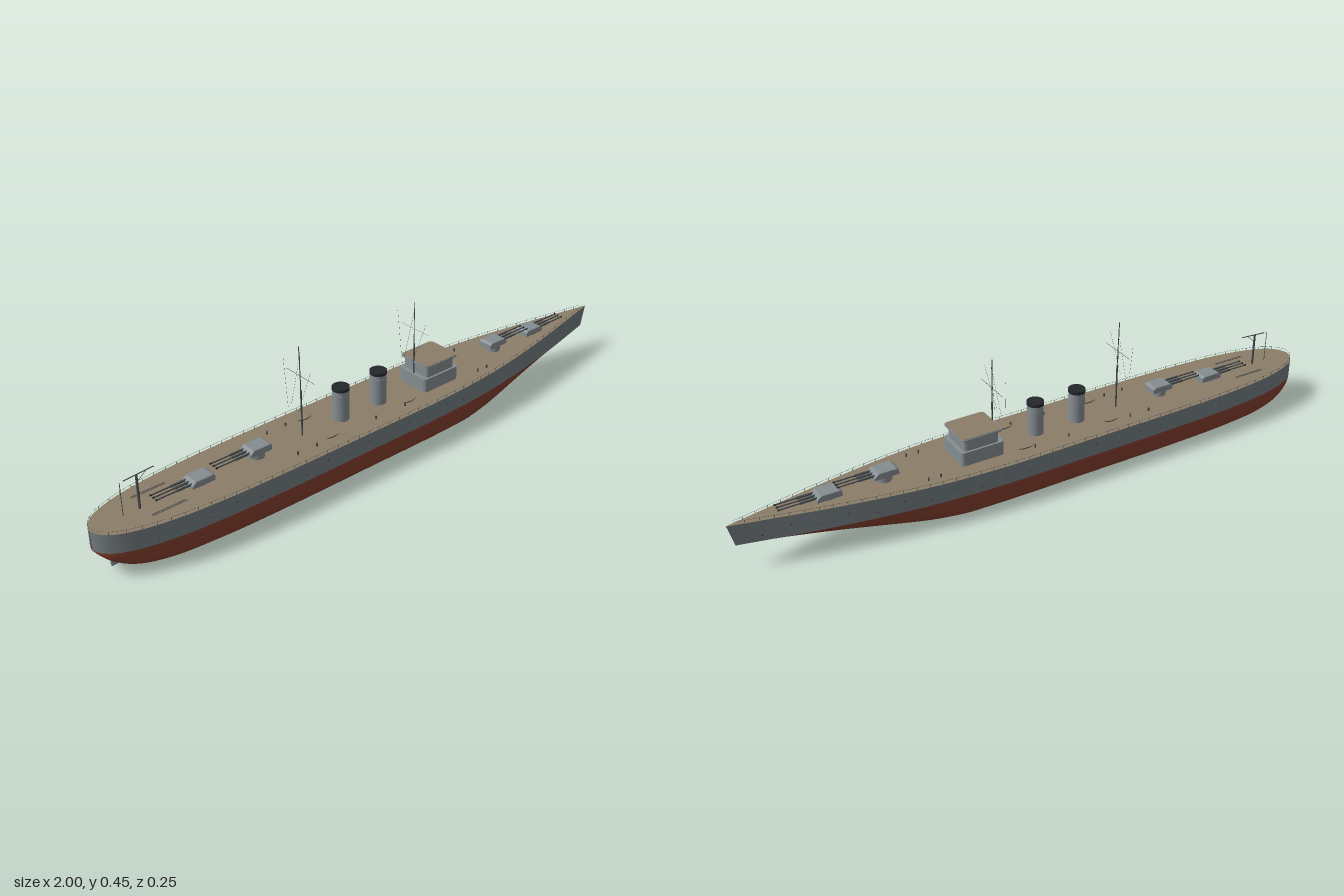
import * as THREE from 'three';
import { toCreasedNormals } from 'three/addons/utils/BufferGeometryUtils.js';

const paint = (name, color, side = THREE.FrontSide) => {
  const m = new THREE.MeshStandardMaterial({ color, side });
  m.name = name;
  return m;
};

export function createModel() {
  const ship = new THREE.Group();
  ship.name = 'warship';
  const hullGrey = paint('hull grey', 0x737b7f, THREE.DoubleSide);
  const lightGrey = paint('superstructure grey', 0x858d91);
  const red = paint('antifouling red', 0x85402f, THREE.DoubleSide);
  const wood = paint('deck tan', 0x8b7e69, THREE.DoubleSide);
  const dark = paint('dark fittings', 0x24282b);
  const gun = paint('gun grey', 0x474d51);

  const add = (name, geo, mat, x = 0, y = 0, z = 0, parent = ship) => {
    const m = new THREE.Mesh(geo, mat);
    m.name = name;
    m.position.set(x, y, z);
    parent.add(m);
    return m;
  };
  // thin round bar between two points
  const rod = (name, a, b, r, mat, parent = ship) => {
    const p = new THREE.Vector3(...a), q = new THREE.Vector3(...b), d = q.clone().sub(p);
    const m = add(name, new THREE.CylinderGeometry(r, r, d.length(), 6), mat, 0, 0, 0, parent);
    m.position.copy(p.add(q).multiplyScalar(0.5));
    m.quaternion.setFromUnitVectors(new THREE.Vector3(0, 1, 0), d.normalize());
  };
  // skin over a row of cross-sections
  const loft = (rows) => {
    const n = rows[0].length, idx = [];
    for (let i = 0; i < rows.length - 1; i++)
      for (let j = 0; j < n - 1; j++) {
        const a = i * n + j, b = a + n;
        idx.push(a, a + 1, b, b, a + 1, b + 1);
      }
    const g = new THREE.BufferGeometry();
    g.setAttribute('position', new THREE.Float32BufferAttribute(rows.flat(2), 3));
    g.setIndex(idx);
    g.computeVertexNormals();
    return g;
  };
  // upright block with rounded plan corners, base at y = 0
  const block = (lx, h, lz, r) => {
    const x = lx / 2, z = lz / 2, s = new THREE.Shape();
    s.moveTo(-x + r, -z).lineTo(x - r, -z).quadraticCurveTo(x, -z, x, -z + r);
    s.lineTo(x, z - r).quadraticCurveTo(x, z, x - r, z);
    s.lineTo(-x + r, z).quadraticCurveTo(-x, z, -x, z - r);
    s.lineTo(-x, -z + r).quadraticCurveTo(-x, -z, -x + r, -z);
    const g = new THREE.ExtrudeGeometry(s, { depth: h, bevelEnabled: false, curveSegments: 5 });
    return toCreasedNormals(g.rotateX(-Math.PI / 2), 0.6);
  };

  // ---- hull: stations of length, half beam, keel height ----
  const stations = [
    [-1, 0.002, 0.086], [-0.99, 0.028, 0.075], [-0.96, 0.057, 0.05], [-0.9, 0.083, 0.023],
    [-0.8, 0.105, 0.007], [-0.65, 0.119, 0.002], [-0.45, 0.125, 0], [-0.1, 0.126, 0],
    [0.2, 0.125, 0], [0.4, 0.113, 0.002], [0.55, 0.093, 0.021], [0.7, 0.066, 0.045],
    [0.85, 0.034, 0.069], [1, 0.001, 0.087],
  ].map((p) => new THREE.Vector3(...p));
  const line = new THREE.CatmullRomCurve3(stations, false, 'centripetal').getPoints(91);
  const WL = 0.088;
  const clamp = THREE.MathUtils.clamp;
  const deckY = (x) => 0.149 + 0.01 * clamp((x - 0.1) / 0.9, 0, 1) ** 1.5;
  const rake = (x, y) => x - 0.25 * (deckY(x) - y) * clamp((x - 0.8) / 0.2, 0, 1);
  const bilge = [[1, 1], [0.985, 0.72], [0.945, 0.42], [0.86, 0.17], [0.76, 0.06], [0.55, 0], [0, 0]];
  const bottom = line.map(({ x, y: w, z: k }) => {
    // sections turn from a round bilge to a plain V towards the bow
    const v = 0.85 * clamp((x - 0.3) / 0.6, 0, 1);
    const half = bilge.map(([f, h], j) => {
      const t = 1 - j / (bilge.length - 1);
      const y = k + (WL - k) * THREE.MathUtils.lerp(h, t, v);
      return [rake(x, y), y, w * THREE.MathUtils.lerp(f, t, v)];
    });
    return [...half, ...half.slice(0, -1).reverse().map(([a, b, c]) => [a, b, -c])];
  });
  add('lowerHull', loft(bottom), red);
  for (const s of [1, -1]) {
    const side = line.map(({ x, y: w }) => {
      const strip = [[x, deckY(x), s * w], [rake(x, WL), WL, s * w]];
      return s > 0 ? strip : strip.reverse();
    });
    add('hullSide', loft(side), hullGrey);
  }
  add('deck', loft(line.map(({ x, y: w }) => [[x, deckY(x), -w], [x, deckY(x), w]])), wood);
  add('rudder', new THREE.BoxGeometry(0.07, 0.06, 0.006), lightGrey, -0.915, 0.039, 0);

  // ---- railings and portholes ----
  const beamAt = (x) => {
    const i = clamp(line.findIndex((p) => p.x >= x), 1, line.length - 1);
    const a = line[i - 1], b = line[i];
    return a.y + ((b.y - a.y) * (x - a.x)) / (b.x - a.x);
  };
  for (const s of [1, -1]) {
    for (let i = 0; i <= 48; i++) {
      const x = -0.97 + i * 0.04, y = deckY(x), z = s * (beamAt(x) - 0.002);
      add('railPost', new THREE.CylinderGeometry(0.0008, 0.0008, 0.009, 5), gun, x, y + 0.0045, z);
      if (i % 2 && x < 0.92 && x > -0.9) {
        const hole = add('porthole', new THREE.CylinderGeometry(0.0017, 0.0017, 0.002, 8), dark,
          x, i % 4 === 1 ? 0.125 : 0.108, s * beamAt(x));
        hole.rotation.x = Math.PI / 2;
      }
    }
    const path = new THREE.CatmullRomCurve3(line.filter((p, i) => i % 3 === 0)
      .map(({ x, y: w }) => new THREE.Vector3(x, deckY(x) + 0.009, s * Math.max(w - 0.002, 0))));
    add('railWire', new THREE.TubeGeometry(path, 90, 0.0004, 4), gun);
  }

  // ---- triple gun turrets ----
  const turret = (x, raised, dir) => {
    const t = new THREE.Group();
    t.name = raised ? 'raisedTurret' : 'lowTurret';
    t.position.set(x, deckY(x), 0);
    if (dir < 0) t.rotation.y = Math.PI;
    const lift = raised ? 0.019 : 0.003;
    add('barbette', new THREE.CylinderGeometry(0.024, 0.024, lift + 0.002, 24), lightGrey, 0, lift / 2, 0, t);
    const house = new THREE.Shape([[-0.037, 0], [0.037, 0], [0.037, 0.009], [0.026, 0.019], [-0.03, 0.019],
      [-0.037, 0.014]].map((p) => new THREE.Vector2(...p)));
    const g = new THREE.ExtrudeGeometry(house, { depth: 0.046, bevelThickness: 0.003, bevelSize: 0.002,
      bevelSegments: 1 });
    add('gunhouse', g, lightGrey, 0, lift, -0.023, t);
    for (const z of [-0.015, 0, 0.015]) {
      const y = lift + 0.011;
      rod('barrel', [0.03, y, z], [0.15, y, z], 0.0022, gun, t);
      rod('barrelSleeve', [0.03, y, z], [0.085, y, z], 0.0036, gun, t);
      rod('muzzle', [0.146, y, z], [0.151, y, z], 0.0029, dark, t);
    }
    ship.add(t);
  };
  turret(0.527, true, 1);
  turret(0.705, false, 1);
  turret(-0.453, true, -1);
  turret(-0.652, false, -1);

  // ---- bridge ----
  add('bridgeBase', block(0.145, 0.047, 0.122, 0.014), lightGrey, 0.23, 0.148, 0);
  add('bridgeUpper', block(0.118, 0.04, 0.108, 0.012), lightGrey, 0.231, 0.195, 0);
  add('bridgeRoof', block(0.136, 0.006, 0.124, 0.014), lightGrey, 0.231, 0.232, 0);
  add('bridgeRoofDeck', block(0.13, 0.002, 0.118, 0.013), wood, 0.231, 0.2375, 0);

  // ---- funnels ----
  for (const x of [-0.135, 0.015]) {
    add('funnel', new THREE.CylinderGeometry(0.026, 0.026, 0.102, 28), lightGrey, x, 0.199, 0);
    add('funnelCap', new THREE.CylinderGeometry(0.0272, 0.0272, 0.01, 28), dark, x, 0.255, 0);
    add('funnelBand', new THREE.CylinderGeometry(0.0268, 0.0268, 0.003, 28), lightGrey, x, 0.235, 0);
  }

  // ---- masts with yards and rigging ----
  for (const [x, top] of [[-0.285, 0.448], [0.165, 0.443]]) {
    rod('mast', [x, 0.148, 0], [x, 0.3, 0], 0.0026, gun);
    rod('topmast', [x, 0.3, 0], [x - 0.003, top, 0], 0.0014, gun);
    rod('yard', [x, 0.35, -0.064], [x, 0.35, 0.064], 0.0006, gun);
    for (const s of [1, -1]) {
      rod('stay', [x, 0.42, 0], [x - 0.02, 0.25, s * 0.022], 0.0003, gun);
      rod('signalLine', [x - 0.012, 0.395, s * 0.064], [x - 0.03, 0.25, s * 0.024], 0.0003, gun);
    }
  }

  // ---- stern crane, staff and catapults ----
  rod('cranePost', [-0.845, 0.147, 0], [-0.845, 0.258, 0], 0.0035, gun);
  rod('craneBoom', [-0.885, 0.256, 0], [-0.79, 0.262, 0], 0.0016, gun);
  rod('craneBrace', [-0.845, 0.235, 0], [-0.815, 0.259, 0], 0.0009, gun);
  rod('ensignStaff', [-0.897, 0.147, 0], [-0.897, 0.255, 0], 0.001, gun);
  for (const s of [1, -1])
    for (const dz of [-0.003, 0.003])
      rod('catapultRail', [-0.84, 0.153, s * 0.054 + dz], [-0.73, 0.153, s * 0.054 + dz], 0.0009, gun);

  // ---- boats, deck fittings ----
  for (const s of [1, -1]) {
    for (const x of [-0.223, 0.087]) {
      const hull = new THREE.SphereGeometry(1, 20, 6, 0, Math.PI * 2, Math.PI / 2, Math.PI / 2);
      add('boat', hull.scale(0.026, 0.006, 0.008), gun, x, 0.155, s * 0.066);
      const cover = new THREE.CylinderGeometry(1, 1, 0.001, 20).scale(0.024, 1, 0.007);
      add('boatCover', cover, wood, x, 0.1552, s * 0.066);
    }
    for (const x of [-0.36, -0.29, -0.06, 0.06, 0.38, 0.42])
      add('bollard', new THREE.CylinderGeometry(0.0025, 0.003, 0.012, 8), gun, x, deckY(x) + 0.005, s * 0.075);
  }
  return ship;
}
